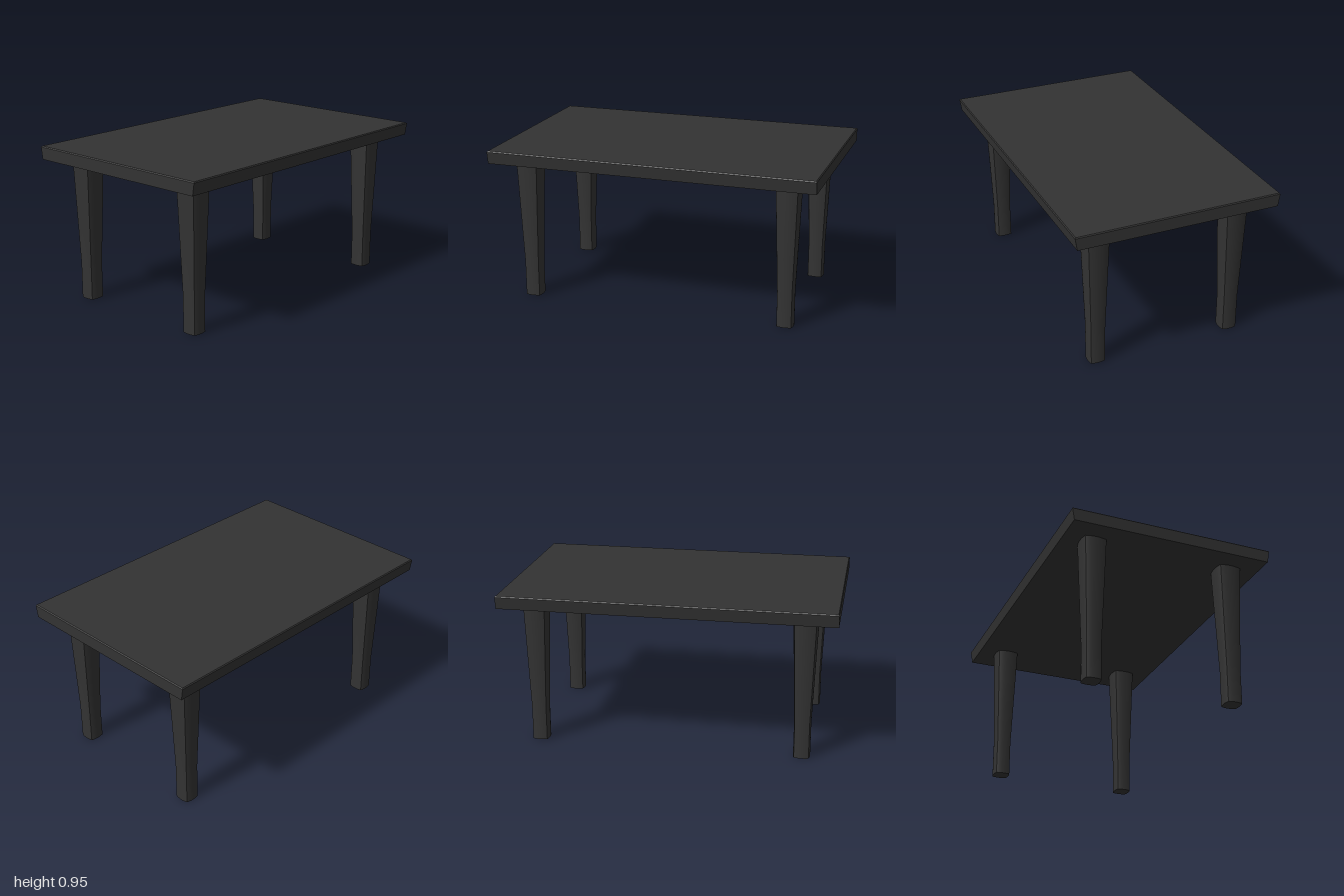
import * as THREE from 'three';
import { toCreasedNormals } from 'three/addons/utils/BufferGeometryUtils.js';

const TOP = 0.955, UNDERSIDE = 0.875;

// Move every vertex of a geometry by a rule
function reshape(geometry, rule) {
  const pos = geometry.attributes.position;
  const v = new THREE.Vector3();
  for (let i = 0; i < pos.count; i++) {
    rule(v.fromBufferAttribute(pos, i));
    pos.setXYZ(i, v.x, v.y, v.z);
  }
  return geometry;
}

// Slab whose long sides lean inward below, with a fine bevel round the top edge
function tabletopGeometry() {
  const rows = [
    { y: UNDERSIDE, x: 0.613, z: 1 },
    { y: TOP - 0.006, x: 0.625, z: 1 },
    { y: TOP, x: 0.62, z: 0.995 },
  ];
  const geo = reshape(new THREE.BoxGeometry(2, 2, 2, 1, 2, 1), (v) => {
    const row = rows[Math.round(v.y + 1)];
    v.set(Math.sign(v.x) * row.x, row.y, Math.sign(v.z) * row.z);
  });
  return toCreasedNormals(geo, 0.3);
}

// Square leg with bowed faces: straight foot, then widening to the top
function legGeometry() {
  const points = [];
  const corner = 0.86, segments = 8;
  for (let side = 0; side < 4; side++) {
    for (let i = 0; i < segments; i++) {
      const t = (2 * i) / segments - 1;
      points.push(new THREE.Vector2(1 - (1 - corner) * t * t, corner * t)
        .rotateAround(new THREE.Vector2(), (side * Math.PI) / 2));
    }
  }
  const geo = new THREE.ExtrudeGeometry(new THREE.Shape(points), {
    depth: UNDERSIDE, steps: 4, bevelEnabled: false,
  });
  geo.rotateX(-Math.PI / 2);
  const knee = UNDERSIDE / 4;
  reshape(geo, (v) => {
    const k = Math.max(0, (v.y - knee) / (UNDERSIDE - knee));
    const half = 0.051 + 0.024 * k;
    v.x *= half;
    v.z *= half;
  });
  return toCreasedNormals(geo, 0.6);
}

export function createModel() {
  const table = new THREE.Group();
  table.name = 'table';
  const material = new THREE.MeshStandardMaterial({ color: 0x333333 });

  const top = new THREE.Mesh(tabletopGeometry(), material);
  top.name = 'tabletop';
  table.add(top);

  // Four matching legs
  const legGeo = legGeometry();
  for (const sx of [-1, 1]) {
    for (const sz of [-1, 1]) {
      const leg = new THREE.Mesh(legGeo, material);
      leg.name = (sz > 0 ? 'front' : 'back') + (sx > 0 ? 'Left' : 'Right') + 'Leg';
      leg.position.set(sx * 0.431, 0, sz * 0.805);
      table.add(leg);
    }
  }
  return table;
}
